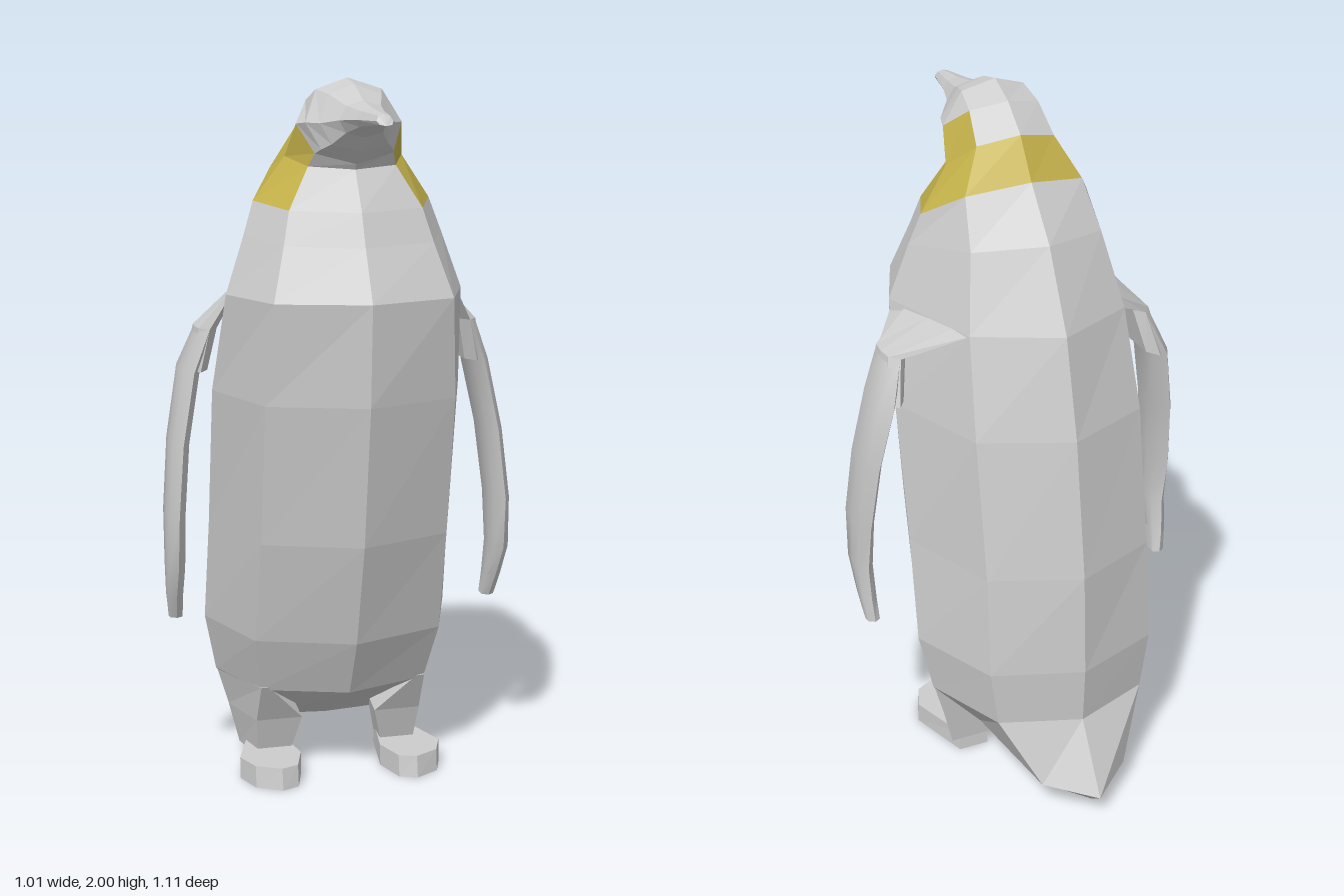
import * as THREE from 'three';
import { toCreasedNormals } from 'three/addons/utils/BufferGeometryUtils.js';

const plumage = new THREE.MeshStandardMaterial({ color: 0xcccccc });
plumage.name = 'grey plumage';
const collar = new THREE.MeshStandardMaterial({ color: 0xc6b34b });
collar.name = 'yellow collar';

// Joins closed rings (counter-clockwise from above, listed bottom to top) into flat faces.
function loft(rings, keep = () => true, caps = true) {
  const p = [];
  const n = rings[0].length;
  for (let i = 0; i < rings.length - 1; i++) {
    for (let j = 0; j < n; j++) {
      if (!keep(i, j)) continue;
      const k = (j + 1) % n;
      const [a, b, c, d] = [rings[i][j], rings[i][k], rings[i + 1][k], rings[i + 1][j]];
      p.push(...a, ...b, ...c, ...a, ...c, ...d);
    }
  }
  if (caps) {
    const lo = rings[0], hi = rings[rings.length - 1];
    for (let j = 1; j < n - 1; j++) {
      p.push(...lo[0], ...lo[j + 1], ...lo[j]);
      p.push(...hi[0], ...hi[j], ...hi[j + 1]);
    }
  }
  const g = new THREE.BufferGeometry();
  g.setAttribute('position', new THREE.Float32BufferAttribute(p, 3));
  g.computeVertexNormals();
  return g;
}

const mirror = ([x, y, z]) => [-x, y, z];
const sided = (rings, s) => (s > 0 ? rings : rings.map((r) => r.map(mirror).reverse()));
const mix = THREE.MathUtils.lerp;

// Eight-sided body ring through a front, a side and a back point; corners lie between them.
function bodyRing([frontY, frontZ, sideY, sideZ, width, backY, backZ]) {
  const front = [0, frontY, frontZ];
  const frontCorner = [width * 0.74, mix(frontY, sideY, 0.27), mix(frontZ, sideZ, 0.27)];
  const side = [width, sideY, sideZ];
  const backCorner = [width * 0.69, mix(sideY, backY, 0.74), mix(sideZ, backZ, 0.74)];
  const back = [0, backY, backZ];
  return [front, frontCorner, side, backCorner, back, mirror(backCorner), mirror(side), mirror(frontCorner)];
}

// The body runs from the tail up the torso, then tilts forward through head and beak.
const BODY = [
  // underside and tail
  [0.09, -0.15, 0.08, -0.2, 0.12, 0.03, -0.5],
  [0.11, -0.09, 0.12, -0.13, 0.19, 0.07, -0.555],
  // belly and chest
  [0.27, 0.2, 0.27, -0.11, 0.33, 0.27, -0.435],
  [0.44, 0.28, 0.44, -0.09, 0.365, 0.44, -0.445],
  [0.74, 0.36, 0.74, -0.03, 0.36, 0.74, -0.43],
  [1.14, 0.42, 1.14, 0.05, 0.36, 1.14, -0.37],
  [1.42, 0.435, 1.42, 0.14, 0.335, 1.42, -0.3],
  // shoulders and neck
  [1.56, 0.36, 1.58, 0.12, 0.28, 1.64, -0.19],
  [1.65, 0.32, 1.67, 0.1, 0.25, 1.78, -0.075],
  [1.76, 0.25, 1.79, 0.12, 0.165, 1.89, -0.005],
  // head
  [1.775, 0.26, 1.88, 0.18, 0.147, 1.96, 0.075],
  [1.79, 0.28, 1.885, 0.23, 0.133, 2, 0.16],
  [1.81, 0.305, 1.885, 0.28, 0.105, 1.985, 0.235],
  // beak
  [1.85, 0.345, 1.895, 0.34, 0.068, 1.945, 0.33],
  [1.875, 0.42, 1.9, 0.42, 0.045, 1.93, 0.42],
  [1.89, 0.555, 1.902, 0.54, 0.022, 1.92, 0.53],
].map(bodyRing);

// Yellow bands: round the neck except the throat, then up each cheek.
const isCollar = (i, j) =>
  (i === 8 && j !== 0 && j !== 7) || (i === 9 && [1, 2, 5, 6].includes(j));

// Flipper section: height, x, front z, back z, thickness, inward shift of the back edge
function flipperRing([y, x, frontZ, backZ, thick, inset = 0]) {
  const at = (u, side) => [x - inset * u + (side * thick) / 2, y, mix(frontZ, backZ, u)];
  return [at(0, 0), at(0.2, 1), at(0.5, 1.15), at(0.8, 1), at(1, 0), at(0.8, -1), at(0.5, -1), at(0.2, -1)];
}
const FLIPPER = [
  [0.48, 0.468, 0.04, -0.015, 0.035],
  [0.55, 0.474, 0.08, -0.01, 0.04],
  [0.65, 0.477, 0.14, 0, 0.045],
  [0.8, 0.475, 0.157, -0.03, 0.045],
  [1, 0.457, 0.135, -0.065, 0.045],
  [1.2, 0.42, 0.112, -0.1, 0.045],
  [1.32, 0.375, 0.11, -0.04, 0.045],
].map(flipperRing);

// Flat shoulder that flares from the torso to the flipper
const SHOULDER = [
  [1.2, 0.4, 0.1, -0.095, 0.05],
  [1.32, 0.375, 0.11, -0.045, 0.05],
  [1.42, 0.32, 0.14, -0.185, 0.015, 0.095],
].map(flipperRing);

// Leg section: height, front inner and outer x, back inner and outer x, front z, back z
const LEG = [
  [0.04, 0.14, 0.235, 0.15, 0.265, 0.035, -0.09],
  [0.16, 0.11, 0.245, 0.13, 0.295, 0.07, -0.1],
  [0.28, 0.22, 0.243, 0.15, 0.33, 0.13, -0.11],
].map(([y, fi, fo, bi, bo, f, b]) => [[fi, y, f], [fo, y, f], [bo, y, b], [bi, y, b]]);

// Foot outline, rounded at the toes and narrow at the heel
const SOLE = [[0.2, 0.22], [0.27, 0.18], [0.3, 0.1], [0.24, -0.09], [0.15, -0.09], [0.12, 0.1], [0.15, 0.2]];
const FOOT = [
  SOLE.map(([x, z]) => [x, 0, z]),
  SOLE.map(([x, z]) => [x, 0.062, z * 0.95]),
];

export function createModel() {
  const model = new THREE.Group();
  model.name = 'penguin';
  const add = (name, geometry, material) => {
    const mesh = new THREE.Mesh(geometry, material);
    mesh.name = name;
    model.add(mesh);
  };

  // Torso, head and beak in one skin, with the collar as its own faces
  add('body', loft(BODY, (i, j) => !isCollar(i, j)), plumage);
  add('collar', loft(BODY, isCollar, false), collar);

  // Limbs on both sides
  for (const [side, s] of [['left', 1], ['right', -1]]) {
    add(side + 'Shoulder', loft(sided(SHOULDER, s)), plumage);
    add(side + 'Flipper', toCreasedNormals(loft(sided(FLIPPER, s)), 0.9), plumage);
    add(side + 'Leg', loft(sided(LEG, s)), plumage);
    add(side + 'Foot', loft(sided(FOOT, s)), plumage);
  }
  return model;
}
